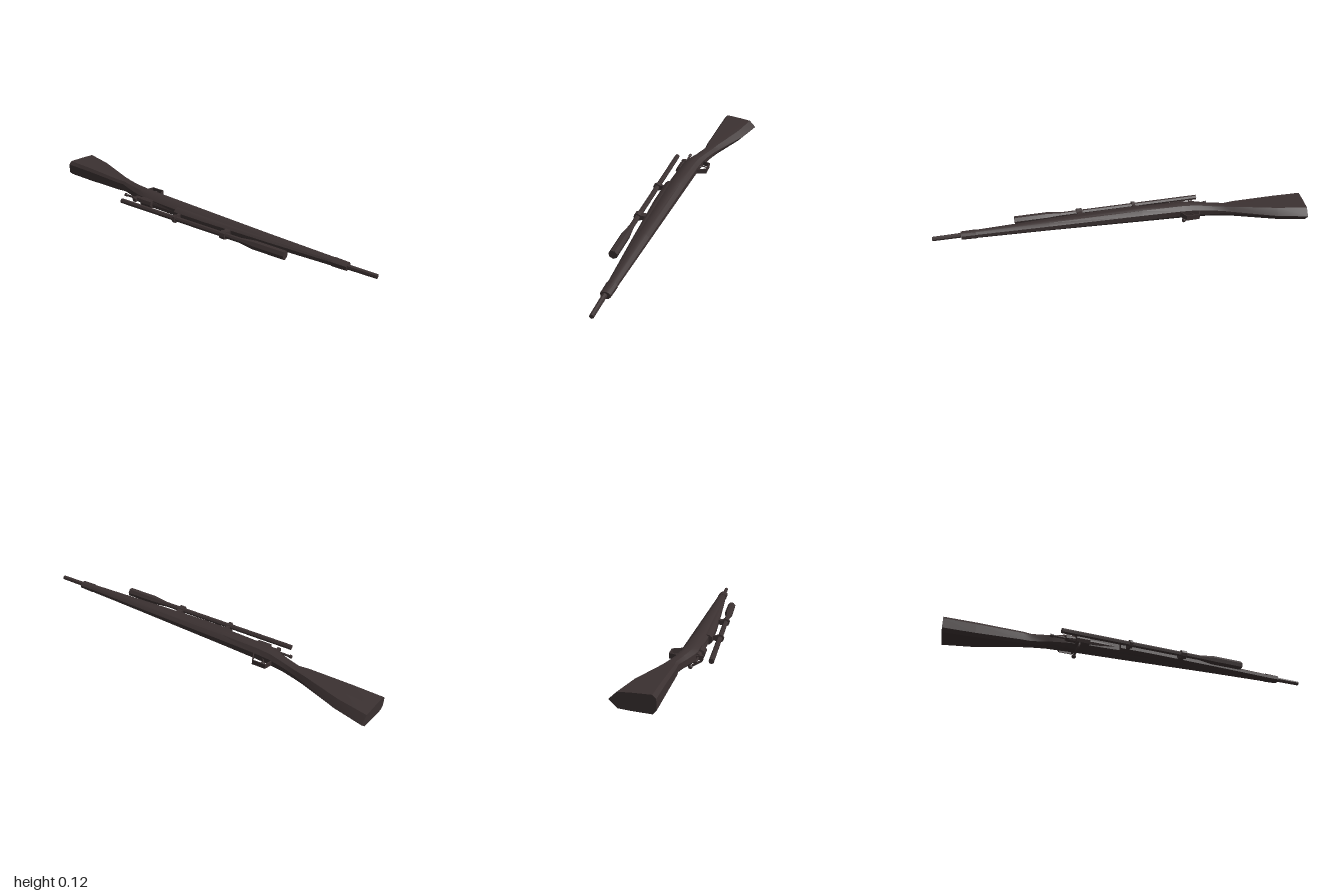
import * as THREE from 'three';
import { toCreasedNormals } from 'three/addons/utils/BufferGeometryUtils.js';

const CY = 0.081; // height of the centre plane; the rifle lies on its side, sights toward +z
const finish = new THREE.MeshStandardMaterial({ color: 0x3b3131 });
finish.name = 'darkFinish';

// Cross-section of the stock: t runs from underside to top, w is a share of the half width
const BUTT = [[0.18, 0.86], [0.5, 0.95], [0.92, 1], [1, 0.6], [0, 0.03]];
const FORE = [[0.22, 0.85], [0.45, 1], [0.75, 0.88], [1, 0.45], [0, 0.35]];

// Station: [x at underside, x at top, z underside, z top, half width, butt-to-fore blend]
function loft(stations) {
  const pos = [], idx = [], n = 10;
  for (const [xb, xt, zb, zt, half, k] of stations) {
    const side = BUTT.map(([t, w], i) => [
      THREE.MathUtils.lerp(t, FORE[i][0], k), THREE.MathUtils.lerp(w, FORE[i][1], k)]);
    const ring = [...side.slice(0, 4),
      ...side.slice(0, 4).reverse().map(([t, w]) => [t, -w]),
      [side[4][0], -side[4][1]], side[4]];
    for (const [t, w] of ring) pos.push(xb + (xt - xb) * t, CY + w * half, zb + (zt - zb) * t);
  }
  const last = (stations.length - 1) * n;
  for (let i = 0; i < last; i += n) {
    for (let j = 0; j < n; j++) {
      const a = i + j, d = i + (j + 1) % n;
      idx.push(a, d, d + n, a, d + n, a + n);
    }
  }
  for (let j = 1; j < n - 1; j++) {
    idx.push(0, j + 1, j, last, last + j, last + j + 1);
  }
  const g = new THREE.BufferGeometry();
  g.setAttribute('position', new THREE.Float32BufferAttribute(pos, 3));
  g.setIndex(idx);
  return toCreasedNormals(g, 0.5);
}

// Turned part along x from [x, radius] pairs
function turned(profile, sides, phase = Math.PI / 2) {
  const pts = profile.map(([x, r]) => new THREE.Vector2(r, x));
  const g = new THREE.LatheGeometry(pts, sides, phase);
  g.rotateZ(-Math.PI / 2);
  return toCreasedNormals(g, 0.6);
}

export function createModel() {
  const model = new THREE.Group();
  model.name = 'scopedRifle';
  const add = (name, geometry, x = 0, y = 0, z = 0) => {
    const m = new THREE.Mesh(geometry, finish);
    m.name = name;
    m.position.set(x, y, z);
    model.add(m);
    return m;
  };
  const box = (name, w, h, d, x, y, z) => add(name, new THREE.BoxGeometry(w, h, d), x, y, z);

  // Butt, wrist and fore-end in one piece
  add('stock', loft([
    [-0.965, -1.0, -0.192, 0.012, 0.042, 0],
    [-0.81, -0.84, -0.148, 0.018, 0.04, 0],
    [-0.60, -0.61, -0.055, 0.029, 0.033, 0.3],
    [-0.55, -0.56, -0.037, 0.027, 0.032, 0.6],
    [-0.48, -0.48, -0.018, 0.056, 0.034, 1],
    [-0.40, -0.40, -0.001, 0.085, 0.041, 1],
    [-0.32, -0.32, 0.007, 0.1, 0.042, 1],
    [-0.1, -0.1, 0.018, 0.112, 0.039, 1],
    [0.4, 0.4, 0.042, 0.114, 0.027, 1],
    [0.79, 0.79, 0.061, 0.106, 0.02, 1],
  ]));
  // Upper wood over the barrel
  add('handguard', loft([
    [-0.12, -0.12, 0.07, 0.129, 0.028, 1],
    [0.08, 0.08, 0.07, 0.13, 0.026, 1],
    [0.43, 0.43, 0.075, 0.12, 0.021, 1],
    [0.785, 0.785, 0.08, 0.107, 0.016, 1],
  ]));
  add('frontCap', loft([
    [0.78, 0.78, 0.058, 0.11, 0.022, 1],
    [0.855, 0.855, 0.062, 0.11, 0.02, 1],
  ]));

  // Barrel
  add('barrel', turned([[0.7, 0], [0.7, 0.014], [1, 0.0115], [1, 0]], 8), 0, CY, 0.089);

  // Receiver and bolt
  add('bolt', turned([[-0.4, 0], [-0.4, 0.016], [-0.1, 0.016], [-0.1, 0]], 8), 0, CY, 0.094);
  add('receiverBridge', turned(
    [[-0.36, 0], [-0.355, 0.024], [-0.285, 0.024], [-0.28, 0]], 8), 0, CY, 0.1);
  add('firingPin', turned([[-0.485, 0], [-0.485, 0.009], [-0.472, 0.009],
    [-0.468, 0.006], [-0.39, 0.006], [-0.39, 0]], 8), 0, CY, 0.095);
  box('safetyLever', 0.02, 0.02, 0.034, -0.4, CY, 0.104);

  // Bolt handle, bent out and down to the side
  const handlePath = new THREE.CatmullRomCurve3([
    new THREE.Vector3(-0.335, 0.068, 0.108), new THREE.Vector3(-0.34, 0.045, 0.105),
    new THREE.Vector3(-0.342, 0.032, 0.085), new THREE.Vector3(-0.345, 0.014, 0.052)]);
  add('boltHandle', new THREE.TubeGeometry(handlePath, 10, 0.006, 6));
  add('boltKnob', new THREE.SphereGeometry(0.0115, 10, 8), -0.345, 0.0115, 0.05);

  // Trigger guard: a bent strip
  const guard = [[-0.418, 0.005], [-0.398, -0.043], [-0.328, -0.043], [-0.308, 0.012]];
  for (let i = 0; i < 3; i++) {
    const [x0, z0] = guard[i], [x1, z1] = guard[i + 1];
    const m = box('triggerGuard', Math.hypot(x1 - x0, z1 - z0) + 0.004, 0.027, 0.005,
      (x0 + x1) / 2, CY, (z0 + z1) / 2);
    m.rotation.y = -Math.atan2(z1 - z0, x1 - x0);
  }
  const triggerPath = new THREE.QuadraticBezierCurve3(
    new THREE.Vector3(-0.36, CY, 0.005), new THREE.Vector3(-0.39, CY, -0.015),
    new THREE.Vector3(-0.362, CY, -0.034));
  add('trigger', new THREE.TubeGeometry(triggerPath, 8, 0.004, 6));

  // Scope with a bell at the front
  const SZ = 0.165;
  add('scope', turned([[-0.45, 0], [-0.45, 0.0135], [0.32, 0.0135],
    [0.4, 0.0235], [0.57, 0.0235], [0.57, 0]], 7), 0, CY, SZ);

  // Scope rings, feet and clamp screws
  for (const [x, w] of [[-0.083, 0.016], [0.22, 0.03]]) {
    add('scopeRing', turned([[-w / 2, 0], [-w / 2, 0.022], [w / 2, 0.022], [w / 2, 0]], 8),
      x, CY, SZ);
    box('scopeFoot', w, 0.026, 0.045, x, CY, 0.132);
  }
  return model;
}
